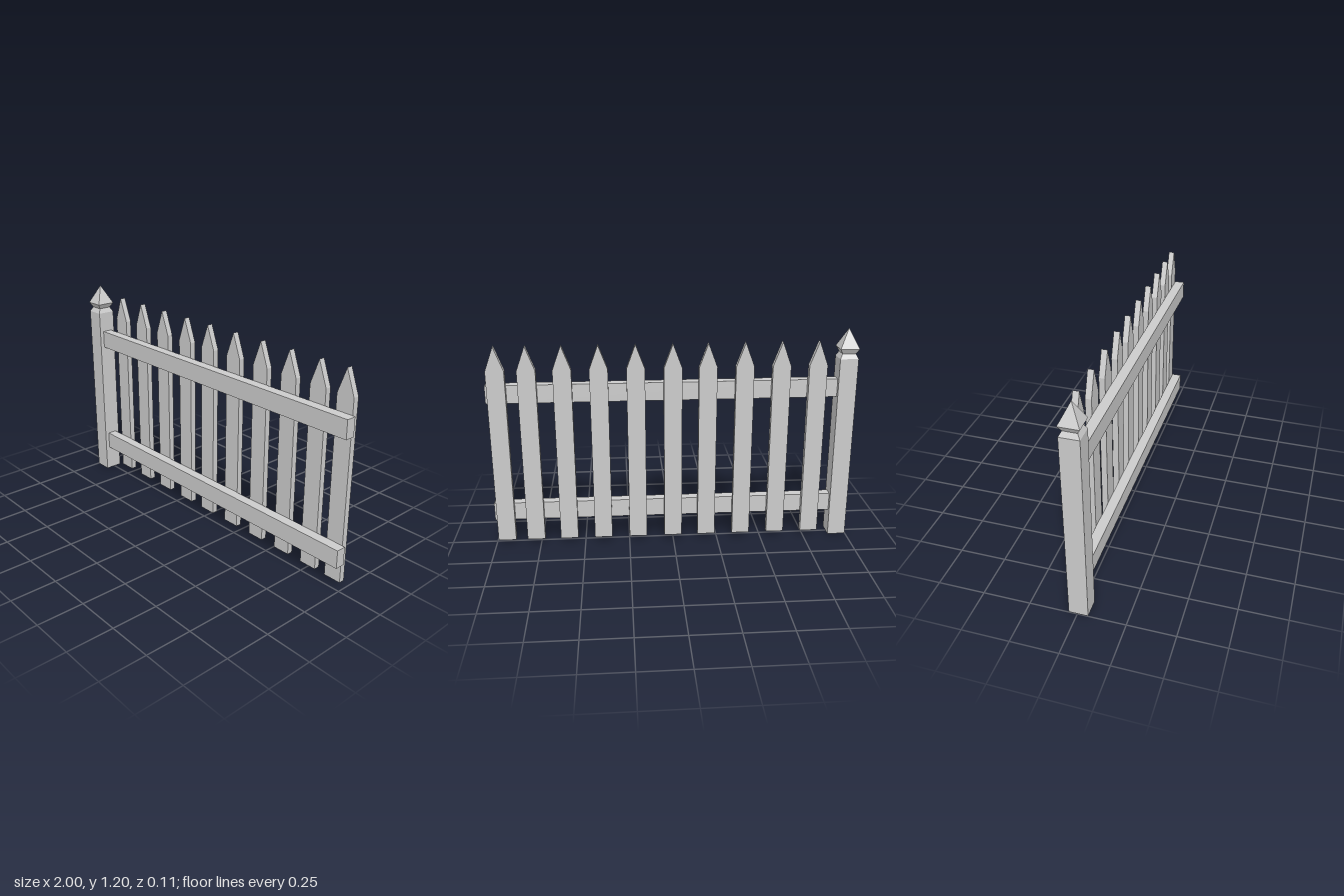
import * as THREE from 'three';

const material = new THREE.MeshStandardMaterial({ color: 0xcccccc, flatShading: true });

function addMesh(parent, name, geometry, x, y, z) {
  const mesh = new THREE.Mesh(geometry, material);
  mesh.name = name;
  mesh.position.set(x, y, z);
  parent.add(mesh);
  return mesh;
}

// Square post with a chamfered neck and pyramid cap: [half width, height]
function postGeometry() {
  const profile = [[0, 0], [0.05, 0], [0.05, 1.04], [0.036, 1.066], [0.052, 1.094], [0, 1.2]];
  const points = profile.map(([half, y]) => new THREE.Vector2(half * Math.SQRT2, y));
  return new THREE.LatheGeometry(points, 4).rotateY(Math.PI / 4);
}

// Flat board with a pointed top
function picketGeometry() {
  const half = 0.049;
  const outline = new THREE.Shape([
    new THREE.Vector2(-half, 0.033),
    new THREE.Vector2(half, 0.033),
    new THREE.Vector2(half, 1.01),
    new THREE.Vector2(0, 1.142),
    new THREE.Vector2(-half, 1.01),
  ]);
  return new THREE.ExtrudeGeometry(outline, { depth: 0.032, bevelEnabled: false });
}

export function createModel() {
  const fence = new THREE.Group();
  fence.name = 'picketFence';

  addMesh(fence, 'post', postGeometry(), -0.948, 0, 0.005);

  // Two horizontal rails running from the post
  const rail = new THREE.BoxGeometry(1.9, 0.1, 0.054);
  addMesh(fence, 'lowerRail', rail, 0.05, 0.195, 0.005);
  addMesh(fence, 'upperRail', rail, 0.05, 0.875, 0.005);

  // Pickets fixed to the back of the rails, slightly uneven in spacing
  const picket = picketGeometry();
  const centres = [-0.78, -0.582, -0.384, -0.186, 0.002, 0.2, 0.396, 0.588, 0.774, 0.936];
  centres.forEach((x, i) => addMesh(fence, `picket${i + 1}`, picket, x, 0, -0.054));

  return fence;
}
